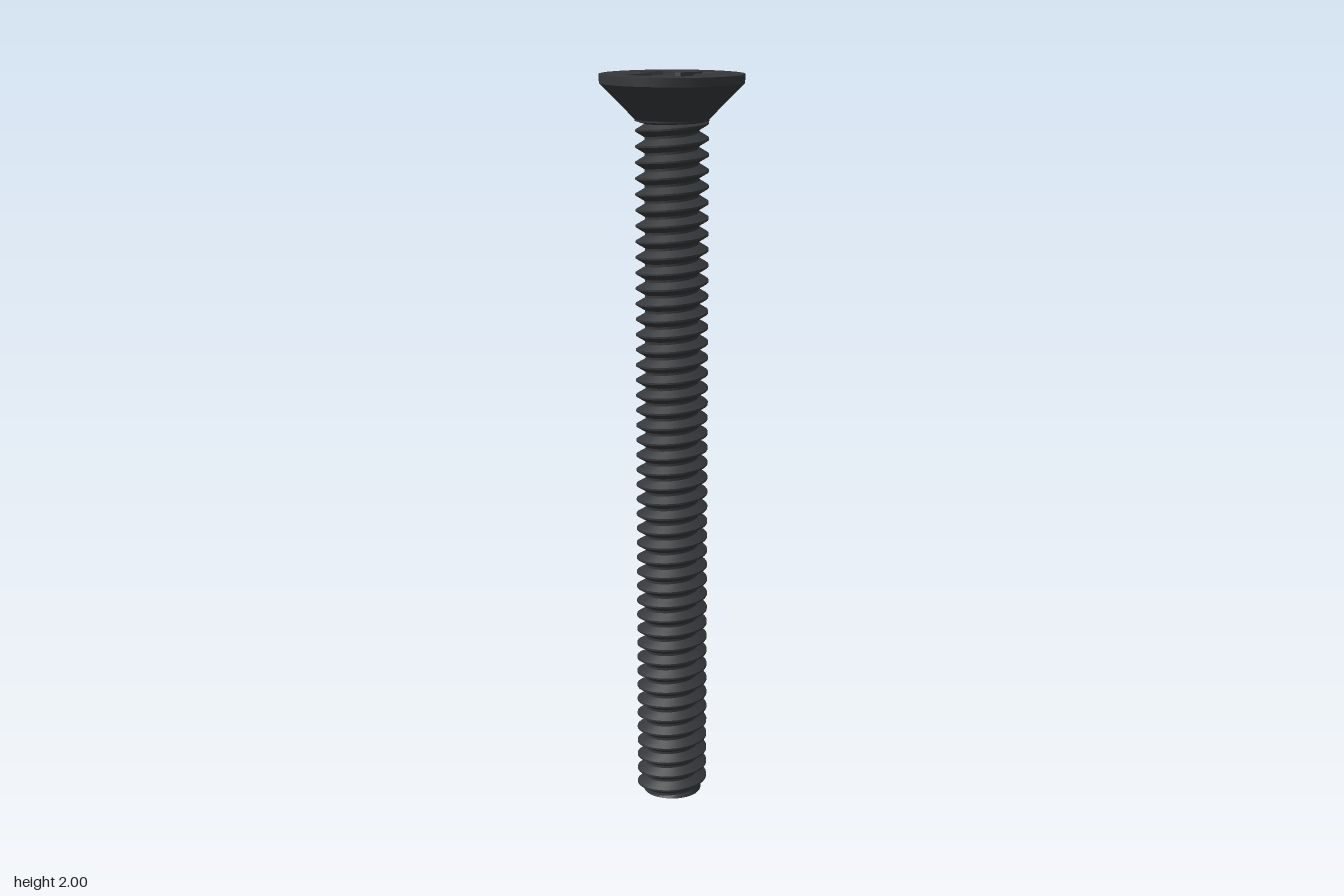
import * as THREE from 'three';
import { toCreasedNormals } from 'three/addons/utils/BufferGeometryUtils.js';

const TOP = 2, HEAD_R = 0.19, HEAD_BASE = 1.884;
const MAJOR = 0.097, MINOR = 0.072, PITCH = 1 / 24;
const FLOOR = TOP - 0.085, DIMPLE_R = 0.0465;

// Indexed grid of points, faces towards u x v
function gridGeometry(cols, rows, pointAt) {
  const pos = [], index = [];
  for (let j = 0; j <= rows; j++) for (let i = 0; i <= cols; i++) pos.push(...pointAt(i, j));
  for (let j = 0; j < rows; j++) {
    for (let i = 0; i < cols; i++) {
      const a = j * (cols + 1) + i, b = a + 1, c = a + cols + 1, d = c + 1;
      index.push(a, b, d, a, d, c);
    }
  }
  const g = new THREE.BufferGeometry();
  g.setAttribute('position', new THREE.Float32BufferAttribute(pos, 3));
  g.setIndex(index);
  return g;
}

// Right-handed helical thread, trimmed flat at both ends and chamfered at the tip
function threadGeometry() {
  const segments = 40, turns = Math.ceil(HEAD_BASE / PITCH) + 2;
  const profile = [[0, MINOR], [0.16, MINOR], [0.52, MAJOR], [0.64, MAJOR]];
  const g = gridGeometry(segments, turns * 4, (i, j) => {
    const angle = (i / segments) * Math.PI * 2;
    const [offset, radius] = profile[j % 4];
    const y = THREE.MathUtils.clamp(
      (Math.floor(j / 4) - 1.5 + offset + i / segments) * PITCH, 0, HEAD_BASE);
    const r = Math.min(radius, 0.079 + y);
    return [r * Math.cos(angle), y, -r * Math.sin(angle)];
  });
  return toCreasedNormals(g, 0.5);
}

// Cross outline with cut inner corners, counter-clockwise
function crossOutline(reach, half, inner) {
  const points = [];
  for (let k = 0; k < 4; k++) {
    for (const [x, y] of [[inner, -half], [reach, -half], [reach, half], [inner, half]]) {
      points.push(new THREE.Vector2(x, y).rotateAround(new THREE.Vector2(), k * Math.PI / 2));
    }
  }
  return points;
}

// Horizontal face looking up
function flatFace(shape, y) {
  return new THREE.ShapeGeometry(shape, 64).rotateX(-Math.PI / 2).translate(0, y, 0);
}

export function createModel() {
  const group = new THREE.Group();
  const smooth = new THREE.MeshStandardMaterial({ color: 0x35373a });
  const faceted = new THREE.MeshStandardMaterial({ color: 0x35373a, flatShading: true });
  const add = (name, geometry, material = smooth) => {
    const mesh = new THREE.Mesh(geometry, material);
    mesh.name = name;
    group.add(mesh);
  };

  // Shank
  add('thread', threadGeometry());
  add('tipFace', new THREE.CircleGeometry(0.079, 40).rotateX(Math.PI / 2));

  // Countersunk head
  const sides = [[MINOR, HEAD_BASE - 0.012], [0.098, HEAD_BASE - 0.004], [0.098, HEAD_BASE],
    [HEAD_R, 1.977], [HEAD_R, TOP]].map(([x, y]) => new THREE.Vector2(x, y));
  add('headSide', toCreasedNormals(new THREE.LatheGeometry(sides, 64), 0.5));

  const upper = crossOutline(0.115, 0.037, 0.047);
  const lower = crossOutline(0.077, 0.027, 0.038);
  const face = new THREE.Shape().absarc(0, 0, HEAD_R, 0, Math.PI * 2);
  face.holes.push(new THREE.Path(upper));
  add('headFace', flatFace(face, TOP));

  // Cross recess: sloping walls, floor and conical centre
  const n = upper.length;
  add('recessWalls', gridGeometry(n, 1, (i, j) => {
    const p = (j ? upper : lower)[(n - i) % n];
    return [p.x, j ? TOP : FLOOR, -p.y];
  }), faceted);
  const floor = new THREE.Shape(lower);
  floor.holes.push(new THREE.Path().absarc(0, 0, DIMPLE_R, 0, Math.PI * 2, true));
  add('recessFloor', flatFace(floor, FLOOR));
  add('recessCentre', new THREE.LatheGeometry(
    [new THREE.Vector2(DIMPLE_R, FLOOR), new THREE.Vector2(0, FLOOR - 0.018)], 32));

  return group;
}
